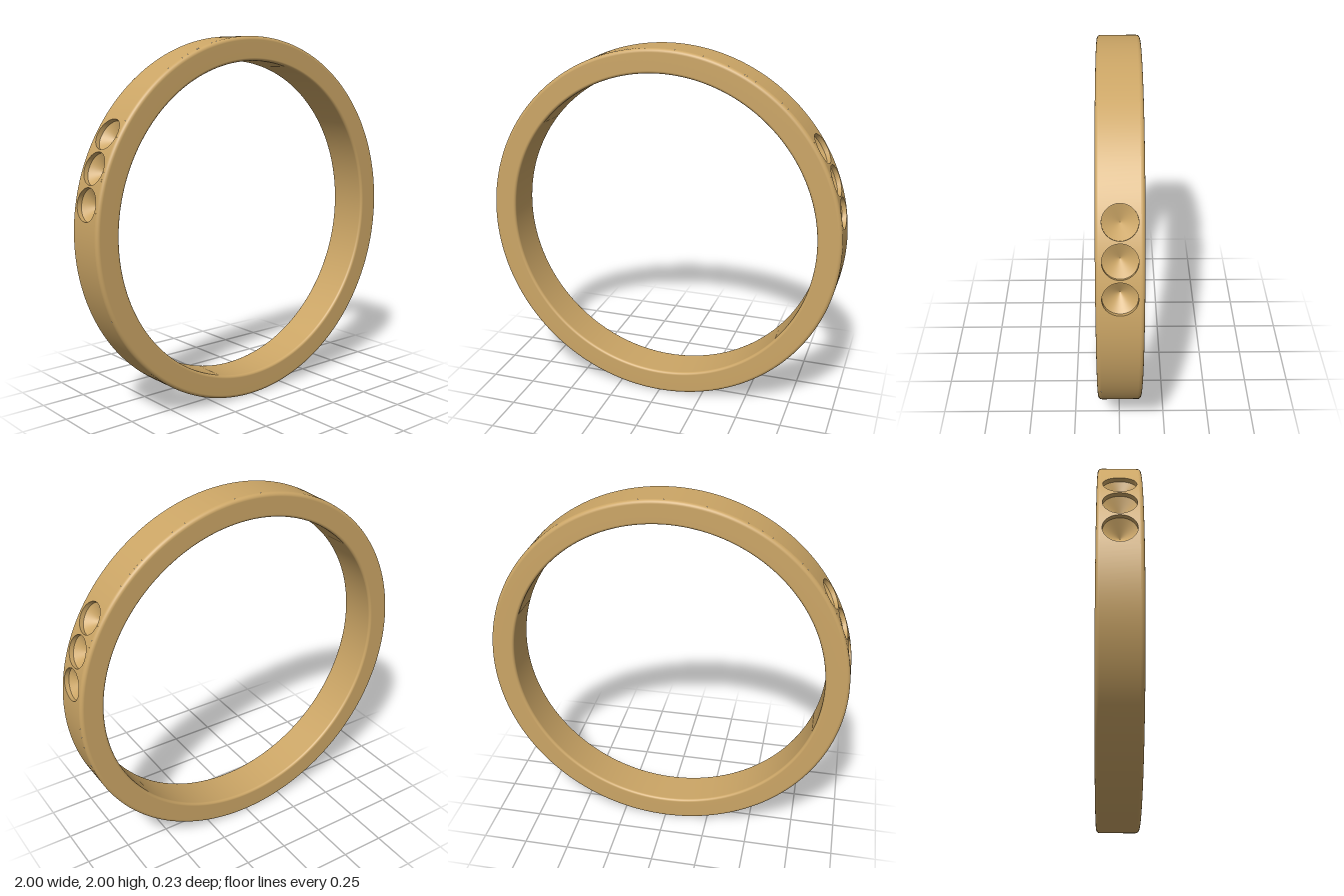
import * as THREE from 'three';

const OUTER = 1, INNER = 0.87, HALF = 0.115, FILLET = 0.02, FLAT = HALF - FILLET;
const STEP = THREE.MathUtils.degToRad(10.45); // angle between neighbouring seats
const SEAT_R = 0.085, WALL_H = 0.975, TIP_H = 0.915;
const SIDES = 64;

const gold = new THREE.MeshStandardMaterial({ color: 0xcca666 });

function part(name, geometry) {
  const mesh = new THREE.Mesh(geometry, gold);
  mesh.name = name;
  return mesh;
}

// Lathe turned so that its axis is z and angles count from +x
function band(points, from = 0, length = Math.PI * 2, segments = 192) {
  return new THREE.LatheGeometry(points, segments, from + Math.PI / 2, length).rotateX(Math.PI / 2);
}

// Quarter-round corner of the ring's section
function corner(cx, cz, r, start) {
  return Array.from({ length: 7 }, (_, i) => {
    const t = start + (i / 6) * Math.PI / 2;
    return new THREE.Vector2(cx + r * Math.cos(t), cz + r * Math.sin(t));
  });
}

// Skin over closed loops, listed from the outside in; each loop maps t to [tangent, z, height]
function skin(loops, angle) {
  const pos = [], index = [];
  const c = Math.cos(angle), s = Math.sin(angle);
  loops.forEach((loop, i) => {
    for (let j = 0; j < SIDES; j++) {
      const [u, z, h] = loop((j / SIDES) * Math.PI * 2);
      pos.push(h * c - u * s, h * s + u * c, z);
      if (i === 0) continue;
      const k = (j + 1) % SIDES, o = (i - 1) * SIDES, n = i * SIDES;
      index.push(o + j, o + k, n + j, o + k, n + k, n + j);
    }
  });
  const geo = new THREE.BufferGeometry();
  geo.setAttribute('position', new THREE.Float32BufferAttribute(pos, 3));
  geo.setIndex(index);
  geo.computeVertexNormals();
  return geo;
}

const onBand = (u) => Math.sqrt(OUTER * OUTER - u * u);
const circle = (r, h) => (t) => {
  const u = r * Math.cos(t);
  return [u, r * Math.sin(t), h ?? onBand(u)];
};

// Patch of the band's outer face, blending from a rectangle to the round seat opening
const patchLoop = (k) => (t) => {
  const m = Math.max(Math.abs(Math.cos(t)), Math.abs(Math.sin(t)));
  const u = Math.cos(t) * THREE.MathUtils.lerp(Math.sin(STEP / 2) / m, SEAT_R, k);
  const z = Math.sin(t) * THREE.MathUtils.lerp(FLAT / m, SEAT_R, k);
  return [u, z, onBand(u)];
};

function seat(angle) {
  const group = new THREE.Group();
  group.name = 'stoneSeat';
  const patch = skin([0, 0.5, 1].map(patchLoop), angle);
  const p = patch.attributes.position, n = patch.attributes.normal;
  for (let i = 0; i < p.count; i++) n.setXYZ(i, p.getX(i) / OUTER, p.getY(i) / OUTER, 0);
  const cone = [1, 0.75, 0.5, 0.25, 0.03, 0.0005].map((k) =>
    circle(SEAT_R * k, TIP_H + (WALL_H - TIP_H) * k));
  group.add(
    part('seatSurround', patch),
    part('seatWall', skin([circle(SEAT_R), circle(SEAT_R, WALL_H)], angle)),
    part('seatCone', skin(cone, angle)),
  );
  return group;
}

export function createModel() {
  const model = new THREE.Group();
  model.name = 'ring';
  const body = new THREE.Group();
  body.name = 'ringBody';
  body.position.y = 1;
  model.add(body);

  // Rounded edges, side faces and inner wall
  const r = 0.015, quarter = Math.PI / 2;
  body.add(part('shell', band([
    ...corner(OUTER - FILLET, FLAT, FILLET, 0),
    ...corner(INNER + r, HALF - r, r, quarter),
    ...corner(INNER + r, -HALF + r, r, 2 * quarter),
    ...corner(OUTER - FILLET, -FLAT, FILLET, 3 * quarter),
  ])));

  // Plain outer face above and below the seats
  const face = [new THREE.Vector2(OUTER, -FLAT), new THREE.Vector2(OUTER, FLAT)];
  body.add(
    part('outerFaceTop', band(face, 3.5 * STEP, Math.PI - 7 * STEP, 80)),
    part('outerFaceBottom', band(face, Math.PI - 0.5 * STEP, Math.PI + STEP, 112)),
  );

  // Three drilled seats on each side
  for (const side of ['left', 'right']) {
    const seats = new THREE.Group();
    seats.name = side + 'Seats';
    for (let i = 1; i <= 3; i++) seats.add(seat(i * STEP));
    if (side === 'right') seats.rotation.y = Math.PI;
    body.add(seats);
  }
  return model;
}
